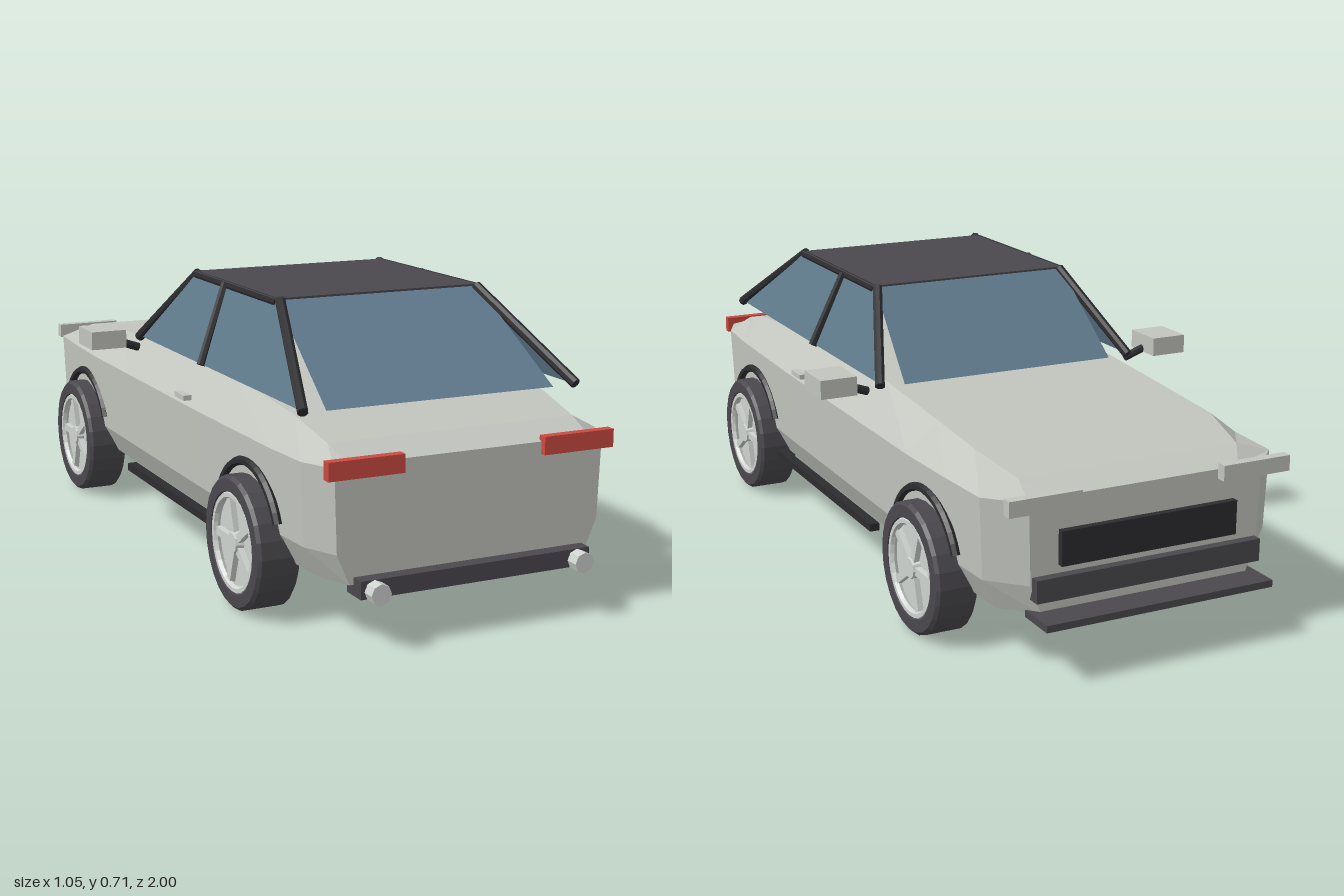
import * as THREE from 'three';

export function createModel() {
  const car = new THREE.Group();
  car.name = 'car';

  const mat = (name, color, extra = {}) => {
    const m = new THREE.MeshStandardMaterial({ color, flatShading: true, ...extra });
    m.name = name;
    return m;
  };
  const paint = mat('bodyPaint', 0xc2c5be, { side: THREE.DoubleSide });
  const glass = mat('glass', 0x5f7a8c, { side: THREE.DoubleSide });
  const charcoal = mat('charcoal', 0x4a484d);
  const black = mat('blackTrim', 0x2c2c2f);
  const red = mat('tailRed', 0xcb4a40);
  const silver = mat('rimSilver', 0xcfd3d0);

  const add = (name, geo, material, parent = car) => {
    const m = new THREE.Mesh(geo, material);
    m.name = name;
    parent.add(m);
    return m;
  };
  // box given by its extents along each axis
  const box = (name, material, [x0, x1], [y0, y1], [z0, z1]) => {
    const m = add(name, new THREE.BoxGeometry(x1 - x0, y1 - y0, z1 - z0), material);
    m.position.set((x0 + x1) / 2, (y0 + y1) / 2, (z0 + z1) / 2);
    return m;
  };
  // round bar between two points
  const bar = (name, material, a, b, r) => {
    const from = new THREE.Vector3(...a), to = new THREE.Vector3(...b);
    const dir = to.clone().sub(from);
    const m = add(name, new THREE.CylinderGeometry(r, r, dir.length(), 8), material);
    m.position.copy(from).add(to).multiplyScalar(0.5);
    m.quaternion.setFromUnitVectors(new THREE.Vector3(0, 1, 0), dir.normalize());
    return m;
  };
  const geometryOf = (coords) => {
    const g = new THREE.BufferGeometry();
    g.setAttribute('position', new THREE.Float32BufferAttribute(coords, 3));
    g.computeVertexNormals();
    return g;
  };
  const quad = (a, b, c, d) => geometryOf([a, b, c, a, c, d].flat());

  // body shell: z, half width, top height, top half width
  const sections = [
    [-0.925, 0.305, 0.415, 0.24],
    [-0.845, 0.385, 0.44, 0.29],
    [-0.69, 0.395, 0.468, 0.32],
    [-0.5, 0.403, 0.482, 0.32],
    [-0.2, 0.403, 0.502, 0.32],
    [0.3, 0.403, 0.506, 0.32],
    [0.7, 0.395, 0.478, 0.33],
    [0.845, 0.385, 0.445, 0.32],
    [0.93, 0.345, 0.415, 0.31],
  ];
  const rings = sections.map(([z, w, top, tw]) => {
    const half = [[0.89 * w, 0.143], [0.98 * w, 0.215], [w, 0.41], [tw, top]];
    return [
      ...half.map(([x, y]) => [x, y, z]),
      ...half.reverse().map(([x, y]) => [-x, y, z]),
    ];
  });
  const shell = [];
  const tri = (...p) => shell.push(...p.flat());
  for (let i = 0; i < rings.length - 1; i++) {
    for (let j = 0; j < 8; j++) {
      const k = (j + 1) % 8, a = rings[i], b = rings[i + 1];
      tri(a[j], a[k], b[k]);
      tri(a[j], b[k], b[j]);
    }
  }
  const nose = rings[0], tail = rings[rings.length - 1];
  for (let j = 1; j < 7; j++) {
    tri(nose[0], nose[j + 1], nose[j]);
    tri(tail[0], tail[j], tail[j + 1]);
  }
  add('body', geometryOf(shell), paint);

  // roof and end windows
  box('roof', charcoal, [-0.28, 0.28], [0.69, 0.71], [-0.025, 0.485]);
  add('windshield', quad([0.295, 0.505, -0.25], [-0.295, 0.505, -0.25],
    [-0.275, 0.705, -0.025], [0.275, 0.705, -0.025]), glass);
  add('rearWindow', quad([-0.298, 0.505, 0.795], [0.298, 0.505, 0.795],
    [0.275, 0.705, 0.485], [-0.275, 0.705, 0.485]), glass);

  // wheel pieces shared by all four, axis along y before turning
  const tyreProfile = [[0.12, -0.053], [0.15, -0.053], [0.16, -0.045], [0.16, 0.045],
    [0.152, 0.053], [0.122, 0.053], [0.118, 0.03]].map(([x, y]) => new THREE.Vector2(x, y));
  const tyreGeo = new THREE.LatheGeometry(tyreProfile, 24);
  const discGeo = new THREE.CylinderGeometry(0.12, 0.12, 0.083, 24);
  const ringGeo = new THREE.TorusGeometry(0.113, 0.01, 6, 28).rotateX(Math.PI / 2);
  const hubGeo = new THREE.CylinderGeometry(0.025, 0.03, 0.022, 10);
  const spokeGeo = new THREE.BoxGeometry(0.095, 0.014, 0.02).translate(0.06, 0, 0);

  for (const s of [-1, 1]) {
    const side = s < 0 ? 'right' : 'left';
    const span = (a, b) => (s > 0 ? [a, b] : [-b, -a]);

    // side window and pillars
    add(side + 'SideWindow', quad([s * 0.355, 0.508, -0.24], [s * 0.28, 0.7, -0.025],
      [s * 0.28, 0.7, 0.485], [s * 0.355, 0.508, 0.8]), glass);
    bar(side + 'FrontPillar', black, [s * 0.358, 0.505, -0.24], [s * 0.268, 0.705, -0.022], 0.013);
    bar(side + 'MiddlePillar', black, [s * 0.36, 0.508, 0.213], [s * 0.278, 0.705, 0.182], 0.012);
    bar(side + 'RearPillar', black, [s * 0.358, 0.508, 0.8], [s * 0.268, 0.705, 0.487], 0.013);
    bar(side + 'RoofRail', black, [s * 0.274, 0.7, -0.02], [s * 0.274, 0.7, 0.485], 0.011);

    // mirror, handle, skirt
    bar(side + 'MirrorArm', black, [s * 0.375, 0.485, -0.2], [s * 0.435, 0.506, -0.2], 0.011);
    box(side + 'Mirror', paint, span(0.427, 0.523), [0.496, 0.544], [-0.26, -0.15]);
    box(side + 'DoorHandle', paint, span(0.395, 0.416), [0.426, 0.439], [0.172, 0.235]);
    box(side + 'Skirt', black, span(0.37, 0.395), [0.13, 0.15], [-0.25, 0.48]);

    // lamps and exhaust
    box(side + 'TailLight', red, span(0.18, 0.367), [0.386, 0.429], [0.922, 0.945]);
    box(side + 'HeadLight', paint, span(0.185, 0.367), [0.392, 0.43], [-0.95, -0.925]);
    bar(side + 'Exhaust', silver, [s * 0.263, 0.135, 0.92], [s * 0.263, 0.135, 0.998], 0.025);

    for (const [end, z] of [['Front', -0.588], ['Rear', 0.588]]) {
      const wheel = new THREE.Group();
      wheel.name = side + end + 'Wheel';
      wheel.position.set(s * 0.389, 0.161, z);
      wheel.rotation.z = -s * Math.PI / 2;
      car.add(wheel);
      add('tyre', tyreGeo, charcoal, wheel);
      add('rimDisc', discGeo, silver, wheel).position.y = -0.01;
      add('rimRing', ringGeo, silver, wheel).position.y = 0.043;
      add('hub', hubGeo, silver, wheel).position.y = 0.04;
      for (let i = 0; i < 5; i++) {
        const spoke = add('spoke', spokeGeo, silver, wheel);
        spoke.position.y = 0.039;
        spoke.rotation.y = (i * 2 * Math.PI) / 5 + 0.3;
      }
      // thin lip over the wheel
      const arc = 2.3;
      const arch = add(side + end + 'Arch', new THREE.TorusGeometry(0.18, 0.011, 6, 16, arc)
        .rotateZ((Math.PI - arc) / 2).rotateY(Math.PI / 2), black);
      arch.position.set(s * 0.398, 0.17, z);
    }
  }

  // nose and tail trim
  box('grille', black, [-0.23, 0.23], [0.255, 0.338], [-0.942, -0.91]);
  box('lowerIntake', charcoal, [-0.295, 0.295], [0.18, 0.235], [-0.948, -0.91]);
  box('splitter', charcoal, [-0.298, 0.298], [0.133, 0.15], [-1, -0.9]);
  box('diffuser', charcoal, [-0.297, 0.297], [0.118, 0.16], [0.9, 0.965]);

  return car;
}
